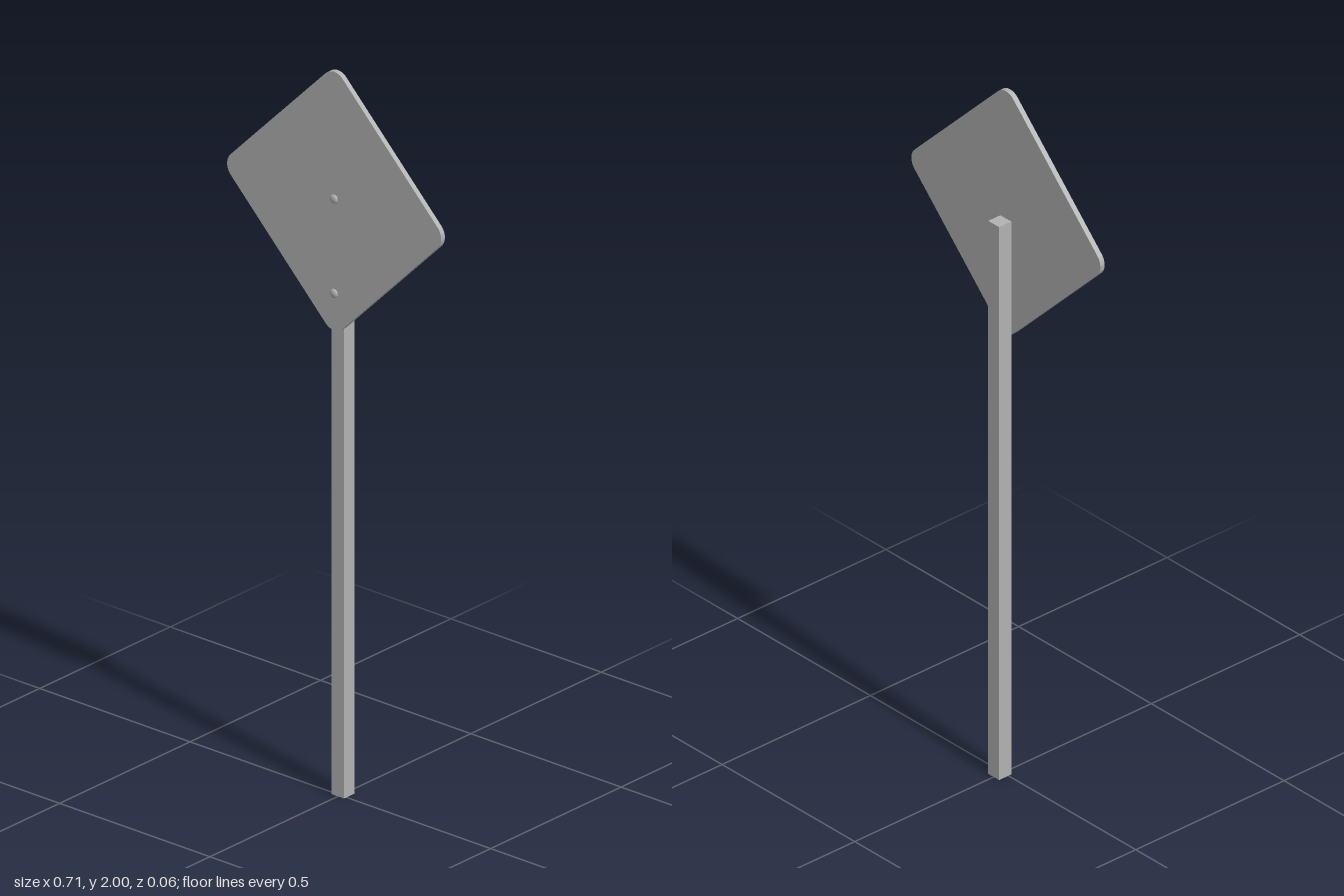
import * as THREE from 'three';

const postTop = 1.626, postWidth = 0.041, plateBack = 0.0095, plateThick = 0.0145;
const plateY = 1.644, plateTip = 0.356, cornerRadius = 0.04;

// Square outline with rounded corners, centred on the origin
function roundedSquare(h, r) {
  const s = new THREE.Shape();
  const c = h - r;
  [[c, c], [-c, c], [-c, -c], [c, -c]].forEach(([x, y], i) =>
    s.absarc(x, y, r, i * Math.PI / 2, (i + 1) * Math.PI / 2, false));
  s.closePath();
  return s;
}

export function createModel() {
  const model = new THREE.Group();
  model.name = 'roadSign';
  const steel = new THREE.MeshStandardMaterial({ color: 0xb2b2b2 });
  steel.name = 'grey steel';

  const add = (name, geometry, x, y, z) => {
    const mesh = new THREE.Mesh(geometry, steel);
    mesh.name = name;
    mesh.position.set(x, y, z);
    model.add(mesh);
    return mesh;
  };

  // Square post behind the plate
  add('post', new THREE.BoxGeometry(postWidth, postTop, postWidth),
    0, postTop / 2, plateBack - postWidth / 2);

  // Diamond plate: a rounded square turned by 45 degrees
  const half = (plateTip + cornerRadius * (Math.SQRT2 - 1)) / Math.SQRT2;
  const plate = new THREE.ExtrudeGeometry(roundedSquare(half, cornerRadius),
    { depth: plateThick, bevelEnabled: false, curveSegments: 6 });
  plate.rotateZ(Math.PI / 4);
  add('signPlate', plate, 0, plateY, plateBack);

  // Low domed bolt heads
  const profile = [[0.0125, 0], [0.0115, 0.003], [0.0075, 0.0055], [0, 0.0065]]
    .map(([r, h]) => new THREE.Vector2(r, h));
  const bolt = new THREE.LatheGeometry(profile, 16);
  bolt.rotateX(Math.PI / 2);
  for (const [name, y] of [['upperBolt', 1.65], ['lowerBolt', 1.39]])
    add(name, bolt, 0, y, plateBack + plateThick);

  return model;
}
